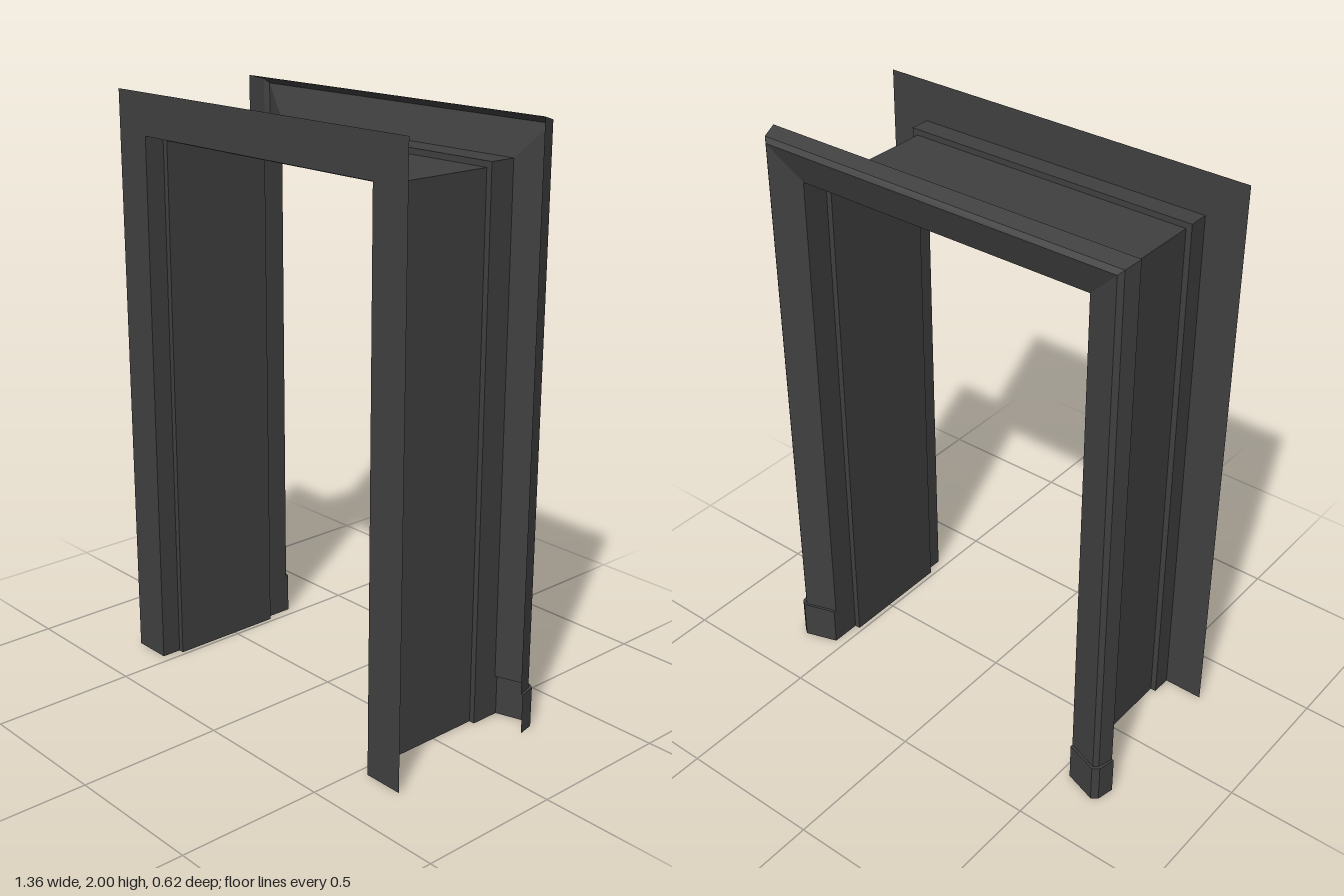
import * as THREE from 'three';

const material = new THREE.MeshStandardMaterial({ color: 0x404040, side: THREE.DoubleSide, flatShading: true });

// Skin between rows of points; rows are cross-sections of equal length
function skin(name, rows) {
  const pos = [];
  for (let j = 0; j < rows.length - 1; j++) {
    for (let i = 0; i < rows[j].length - 1; i++) {
      const a = rows[j][i], b = rows[j][i + 1], c = rows[j + 1][i + 1], d = rows[j + 1][i];
      pos.push(...a, ...b, ...c, ...a, ...c, ...d);
    }
  }
  const geometry = new THREE.BufferGeometry();
  geometry.setAttribute('position', new THREE.Float32BufferAttribute(pos, 3));
  geometry.computeVertexNormals();
  const mesh = new THREE.Mesh(geometry, material);
  mesh.name = name;
  return mesh;
}

// Profile points are [distance from the centre line, z]
const RISE = 1.325; // head height = distance + RISE
const row = (profile, side, y) => profile.map(([d, z]) => [side * d, y, z]);
const headRow = (profile, side) => profile.map(([d, z]) => [side * d, d + RISE, z]);

// Sweep a profile up one leg, across the mitred head and down the other
const frame = (name, profile, bottom) => skin(name, [
  row(profile, -1, bottom), headRow(profile, -1), headRow(profile, 1), row(profile, 1, bottom),
]);

export function createModel() {
  const group = new THREE.Group();
  group.name = 'doorFrame';
  const blockTop = 0.14;

  // Flat casing on the front
  group.add(frame('frontCasing', [[0.675, 0.31], [0.535, 0.31]], 0));

  // Thin stepped lining of the opening
  group.add(frame('jambLining', [
    [0.535, 0.31], [0.535, 0.24], [0.515, 0.24], [0.515, -0.17], [0.535, -0.17], [0.535, -0.24],
  ], 0));

  // Hollow moulded casing on the back, sloping out to a chamfered edge
  const trim = [[0.535, -0.24], [0.535, -0.265], [0.645, -0.303], [0.66, -0.29], [0.675, -0.237]];
  group.add(frame('backCasing', trim, blockTop));

  // Plinth blocks at the foot of the back casing, with a small top ledge
  const plinth = [[0.535, -0.24], [0.535, -0.275], [0.648, -0.312], [0.669, -0.297], [0.682, -0.237]];
  for (const side of [-1, 1]) {
    const rows = [row(plinth, side, 0), row(plinth, side, blockTop), row(trim, side, blockTop)];
    if (side > 0) rows.reverse();
    group.add(skin(side > 0 ? 'leftPlinth' : 'rightPlinth', rows));
  }
  return group;
}
